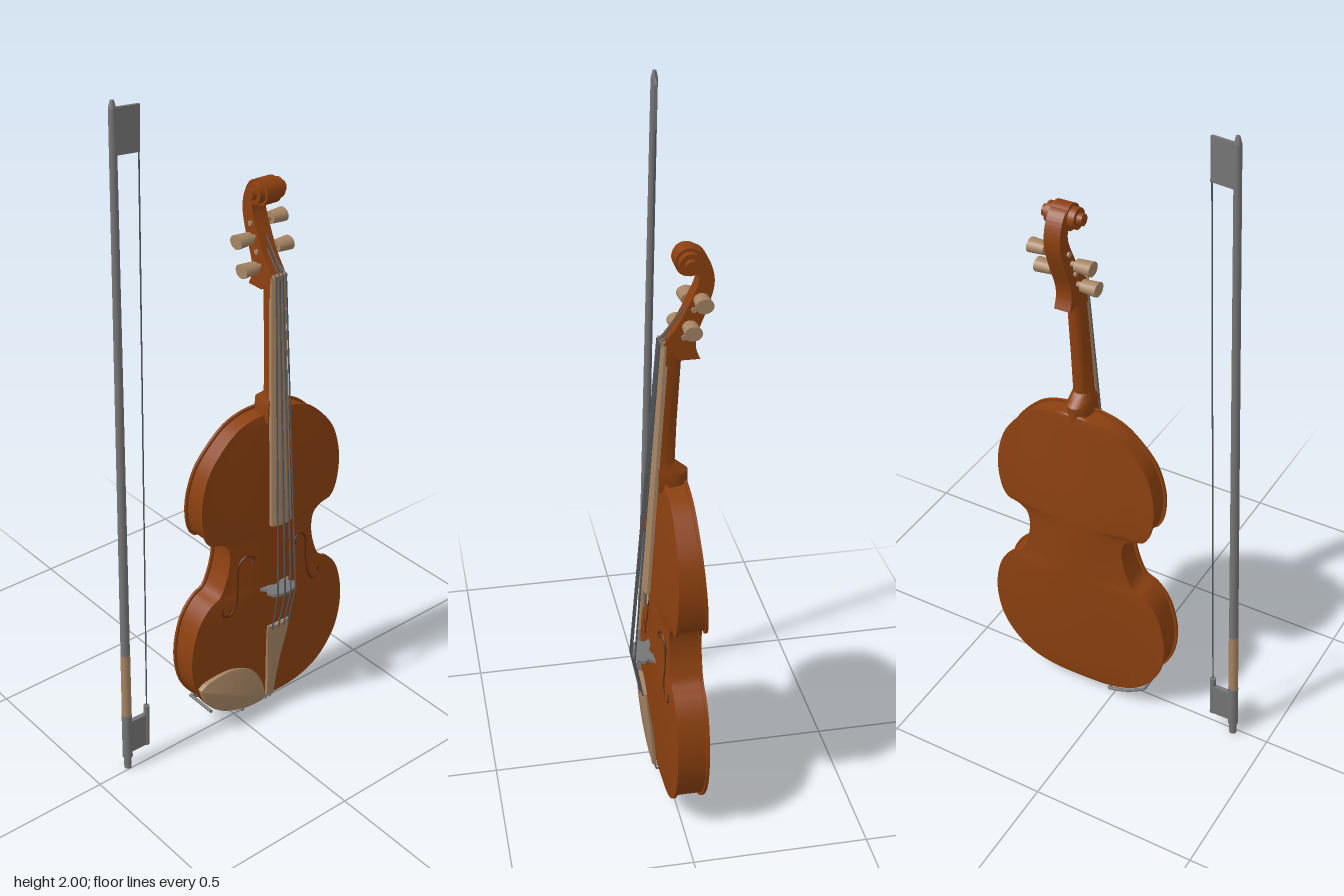
import * as THREE from 'three';
import { toCreasedNormals } from 'three/addons/utils/BufferGeometryUtils.js';

const mat = (name, color) => Object.assign(new THREE.MeshStandardMaterial({ color }), { name });
const V = (a) => new THREE.Vector3(...a);

export function createModel() {
  const wood = mat('varnished wood', 0x8b4010);
  const tan = mat('pale fittings wood', 0xa58463);
  const grey = mat('grey metal', 0x757575);
  const stringMat = mat('string steel', 0x53585e);
  const dark = mat('sound hole shade', 0x5a2a0a);

  const model = new THREE.Group();
  const violin = new THREE.Group();
  violin.name = 'violin';
  violin.position.x = 0.107;
  violin.rotation.z = -0.022;
  const bow = new THREE.Group();
  bow.name = 'bow';
  model.add(violin, bow);

  const add = (parent, name, geo, material) => {
    const m = new THREE.Mesh(geo, material);
    m.name = name;
    parent.add(m);
    return m;
  };

  // Round rod between two points
  const rod = (parent, name, a, b, r0, r1, material, sides = 12) => {
    const p = V(a), q = V(b), d = q.clone().sub(p);
    const m = add(parent, name, new THREE.CylinderGeometry(r1, r0, d.length(), sides), material);
    m.position.copy(p).add(q).multiplyScalar(0.5);
    m.quaternion.setFromUnitVectors(new THREE.Vector3(0, 1, 0), d.normalize());
    return m;
  };

  // Skin closed rings stacked upwards; rings run counterclockwise seen from above
  const loft = (rings, capped = true, crease = 0.6) => {
    const flat = (r) => {
      const c = r.reduce((s, p) => s.add(V(p)), new THREE.Vector3()).divideScalar(r.length);
      return r.map(() => c.toArray());
    };
    const rows = capped ? [flat(rings[0]), ...rings, flat(rings[rings.length - 1])] : rings;
    const n = rows[0].length, index = [];
    for (let i = 0; i < rows.length - 1; i++) {
      for (let j = 0; j < n; j++) {
        const k = (j + 1) % n, a = i * n + j, b = i * n + k;
        index.push(a, b, b + n, a, b + n, a + n);
      }
    }
    const g = new THREE.BufferGeometry();
    g.setAttribute('position', new THREE.Float32BufferAttribute(rows.flat(2), 3));
    g.setIndex(index);
    return toCreasedNormals(g, crease);
  };

  // Body: arched plates overhanging the ribs, swept along the half outline
  const half = [[0, 0.035], [0.09, 0.038], [0.17, 0.06], [0.225, 0.1], [0.272, 0.17], [0.291, 0.26],
    [0.285, 0.34], [0.262, 0.41], [0.225, 0.455], [0.19, 0.475], [0.172, 0.51], [0.158, 0.56],
    [0.155, 0.6], [0.163, 0.635], [0.19, 0.655], [0.225, 0.665], [0.243, 0.69], [0.257, 0.76],
    [0.252, 0.83], [0.228, 0.9], [0.18, 0.96], [0.13, 1.0], [0.07, 1.02], [0, 1.025]];
  const outline = new THREE.CatmullRomCurve3(half.map(([x, y]) => new THREE.Vector3(x, y, 0)));
  const taper = (v) => THREE.MathUtils.smoothstep(v, 0.6, 1.02);
  const frontEdge = (v) => 0.027 - 0.008 * taper(v);
  const backEdge = (v) => -0.063 + 0.019 * taper(v);
  const arch = (v, s) => 0.02 * Math.sqrt(Math.max(0, Math.sin(Math.PI * (v - 0.035) / 0.99))) * (1 - s * s) ** 1.5;
  const frontZ = (x, v, w) => frontEdge(v) + arch(v, x / w);
  const rings = [];
  const steps = 110, cols = 16;
  for (let i = 0; i <= steps; i++) {
    const p = outline.getPoint(i / steps), t = outline.getTangent(i / steps);
    const w = Math.max(p.x, 0), v = p.y, f = frontEdge(v), b = backEdge(v);
    const ix = Math.max(0, w - 0.008 * t.y), iv = v + 0.008 * t.x;
    const ring = [];
    for (let j = 0; j <= cols; j++) {
      const s = -1 + 2 * j / cols;
      ring.push([s * w, v, f + arch(v, s)]);
    }
    ring.push([w, v, f - 0.008], [ix, iv, f - 0.008], [ix, iv, b + 0.008], [w, v, b + 0.008]);
    for (let j = 0; j <= cols; j++) {
      const s = 1 - 2 * j / cols;
      ring.push([s * w, v, b - arch(v, s)]);
    }
    ring.push([-w, v, b + 0.008], [-ix, iv, b + 0.008], [-ix, iv, f - 0.008], [-w, v, f - 0.008]);
    rings.push(ring);
  }
  add(violin, 'body', loft(rings, false), wood);

  // Sound holes: thin S-shaped inlays with round ends
  for (const side of [1, -1]) {
    const pts = [[0.082, 0.56], [0.076, 0.575], [0.102, 0.588], [0.126, 0.565], [0.13, 0.51],
      [0.138, 0.44], [0.16, 0.405], [0.185, 0.415], [0.182, 0.438]];
    const path = new THREE.CatmullRomCurve3(pts.map(([x, v]) =>
      new THREE.Vector3(side * x, v, frontZ(x, v, v > 0.5 ? 0.168 : 0.24))));
    add(violin, 'soundHole', new THREE.TubeGeometry(path, 40, 0.0035, 6), dark);
  }

  // Neck with heel: flat front, rounded back; rows are height, half width, front z, back z
  const neckRows = [[1.0, 0.036, 0.036, -0.05], [1.05, 0.036, 0.036, -0.05], [1.062, 0.033, 0.036, -0.035],
    [1.08, 0.028, 0.036, -0.014], [1.2, 0.027, 0.029, -0.018], [1.38, 0.025, 0.017, -0.028], [1.43, 0.024, 0.014, -0.03]];
  add(violin, 'neck', loft(neckRows.map(([v, w, f, b]) => {
    const r = [[-w, v, f], [w, v, f]];
    for (let k = 0; k <= 10; k++) {
      const a = Math.PI * k / 10, m = f - (f - b) * 0.35;
      r.push([w * Math.cos(a), v, m + (b - m) * Math.sin(a)]);
    }
    return r;
  })), wood);

  // Pegbox: side silhouette extruded across the width
  const side = new THREE.Shape();
  side.moveTo(0.022, 1.43);
  side.lineTo(-0.02, 1.385);
  side.lineTo(-0.074, 1.385);
  side.splineThru([[-0.062, 1.42], [-0.066, 1.46], [-0.09, 1.525], [-0.107, 1.59], [-0.1, 1.64],
    [-0.078, 1.677], [-0.042, 1.692]].map((p) => new THREE.Vector2(...p)));
  side.lineTo(-0.042, 1.64);
  side.splineThru([[-0.064, 1.625], [-0.066, 1.595], [-0.045, 1.545], [-0.018, 1.49], [0.014, 1.445]]
    .map((p) => new THREE.Vector2(...p)));
  const pegbox = new THREE.ExtrudeGeometry(side, { depth: 0.048, bevelEnabled: false, curveSegments: 20 });
  pegbox.translate(0, 0, -0.024).rotateY(-Math.PI / 2);
  add(violin, 'pegbox', toCreasedNormals(pegbox, 0.6), wood);

  // Scroll: stepped turns, widest at the eye
  for (const [r, w] of [[0.037, 0.05], [0.029, 0.088], [0.016, 0.118]]) {
    rod(violin, 'scroll', [-w / 2, 1.655, -0.042], [w / 2, 1.655, -0.042], r, r, wood, 28);
  }

  // Pegs: alternate sides, shaft and flat head
  const pegs = [[-1, 1.45, -0.03], [1, 1.487, -0.042], [-1, 1.525, -0.055], [1, 1.56, -0.07]];
  for (const [s, v, z] of pegs) {
    rod(violin, 'pegShaft', [-s * 0.03, v, z], [s * 0.05, v, z], 0.007, 0.008, tan);
    const head = rod(violin, 'pegHead', [s * 0.04, v, z], [s * 0.088, v, z], 0.017, 0.02, tan, 16);
    head.scale.z = 1.2;
  }

  // Planks with a rounded front; rows are height, half width, front z
  const plank = (rows, sag, thick) => loft(rows.map(([v, w, z]) => {
    const r = [];
    for (let j = 0; j <= 10; j++) {
      const s = -1 + j / 5;
      r.push([s * w, v, z - sag * s * s * w / 0.04]);
    }
    r.push([w, v, z - thick], [-w, v, z - thick]);
    return r;
  }));
  add(violin, 'fingerboard', plank([[0.68, 0.038, 0.077], [1.43, 0.024, 0.026]], 0.01, 0.018), tan);
  add(violin, 'tailpiece', plank([[0.05, 0.013, 0.047], [0.12, 0.018, 0.053], [0.2, 0.027, 0.062],
    [0.28, 0.038, 0.074], [0.335, 0.043, 0.081]], 0.008, 0.013), tan);
  const nut = add(violin, 'nut', new THREE.BoxGeometry(0.046, 0.01, 0.018), tan);
  nut.position.set(0, 1.433, 0.021);

  // Bridge: upright plate with a curved crown and an arch between the feet
  const br = new THREE.Shape();
  br.moveTo(-0.06, 0.038);
  br.lineTo(-0.03, 0.038);
  br.quadraticCurveTo(0, 0.07, 0.03, 0.038);
  br.lineTo(0.06, 0.038);
  br.lineTo(0.042, 0.062);
  br.lineTo(0.052, 0.075);
  br.lineTo(0.042, 0.095);
  br.quadraticCurveTo(0, 0.117, -0.042, 0.095);
  br.lineTo(-0.052, 0.075);
  br.lineTo(-0.042, 0.062);
  const bridge = new THREE.ExtrudeGeometry(br, { depth: 0.009, bevelEnabled: false });
  add(violin, 'bridge', bridge.rotateX(Math.PI / 2), grey).position.y = 0.461;

  // Strings: peg, nut, bridge, tailpiece
  for (let i = 0; i < 4; i++) {
    const s = (i - 1.5) / 1.5, peg = pegs[[0, 2, 3, 1][i]];
    const stops = [[s * 0.012, peg[1], peg[2] + 0.008], [s * 0.017, 1.435, 0.031],
      [s * 0.034, 0.457, 0.108 - 0.006 * s * s], [s * 0.03, 0.325, 0.082 - 0.004 * s * s]];
    for (let k = 0; k < 3; k++) rod(violin, 'string', stops[k], stops[k + 1], 0.0026, 0.0026, stringMat, 6);
  }

  // Chin rest: thin plate over the lower right edge
  const rest = new THREE.Shape();
  const restPts = [[-0.267, 0.185], [-0.24, 0.122], [-0.18, 0.072], [-0.1, 0.045], [-0.03, 0.042], [-0.024, 0.07],
    [-0.046, 0.132], [-0.088, 0.18], [-0.157, 0.207], [-0.235, 0.2], [-0.267, 0.185]];
  rest.moveTo(...restPts[0]);
  rest.splineThru(restPts.slice(1).map((p) => new THREE.Vector2(...p)));
  const restGeo = new THREE.ExtrudeGeometry(rest, { depth: 0.012, curveSegments: 60,
    bevelSize: 0.002, bevelThickness: 0.003, bevelSegments: 2 });
  add(violin, 'chinRest', toCreasedNormals(restGeo, 0.6), tan).position.z = 0.029;

  // Chin rest clamp: posts joined by a bar under the back edge
  for (const [x, v] of [[-0.224, 0.085], [-0.1, 0.03]]) {
    rod(violin, 'clampPost', [x, v, 0.035], [x, v, -0.066], 0.005, 0.005, grey);
  }
  const bar = new THREE.CatmullRomCurve3([[-0.224, 0.085, -0.066], [-0.165, 0.052, -0.067], [-0.1, 0.03, -0.066]].map(V));
  add(violin, 'clampBar', new THREE.TubeGeometry(bar, 12, 0.005, 8), grey);

  // End button and the loop holding the tailpiece
  rod(violin, 'endButton', [0, 0.004, -0.015], [0, 0.022, -0.015], 0.013, 0.014, grey, 16);
  rod(violin, 'endPin', [0, 0.018, -0.015], [0, 0.05, -0.015], 0.009, 0.009, grey);
  for (const s of [1, -1]) {
    rod(violin, 'tailLoop', [s * 0.009, 0.06, 0.042], [s * 0.009, 0.03, 0.033], 0.003, 0.003, grey, 6);
    rod(violin, 'tailLoop', [s * 0.009, 0.03, 0.033], [s * 0.009, 0.024, -0.015], 0.003, 0.003, grey, 6);
  }

  // Bow stick, in sections along one leaning line
  const on = (y) => [-0.392 + 0.0295 * y, y, -0.011 - 0.0185 * y];
  rod(bow, 'bowButton', on(0), on(0.045), 0.011, 0.011, grey, 16);
  rod(bow, 'bowStickEnd', on(0.04), on(0.19), 0.015, 0.015, grey, 16);
  rod(bow, 'bowGrip', on(0.19), on(0.4), 0.0145, 0.014, tan, 16);
  rod(bow, 'bowStick', on(0.4), on(1.98), 0.0135, 0.01, grey, 16);
  rod(bow, 'bowTip', on(1.98), on(2), 0.01, 0.005, grey, 16);

  // Bow head, frog, ferrule and hair
  const head = add(bow, 'bowHead', new THREE.BoxGeometry(0.066, 0.12, 0.008), grey);
  head.position.set(-0.295, 1.92, -0.043);
  head.rotation.set(0, -0.15, -0.03);
  const frog = add(bow, 'frog', new THREE.BoxGeometry(0.056, 0.11, 0.014), grey);
  frog.position.set(-0.35, 0.107, -0.012);
  frog.rotation.z = -0.03;
  rod(bow, 'ferrule', [-0.322, 0.05, -0.011], [-0.318, 0.19, -0.011], 0.009, 0.009, grey);
  rod(bow, 'bowHair', [-0.318, 0.18, -0.011], [-0.266, 1.865, -0.038], 0.002, 0.002, stringMat, 6);

  return model;
}
